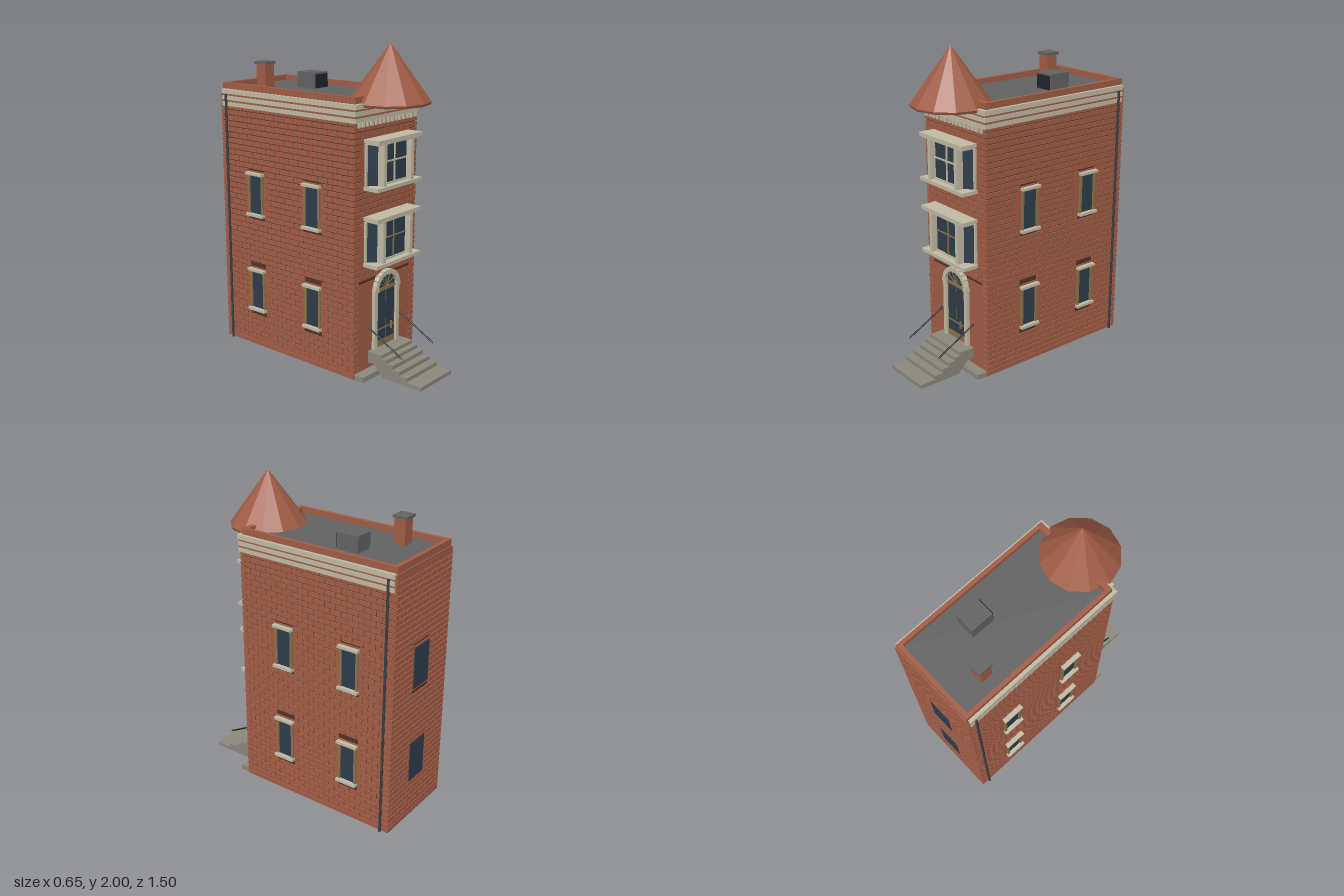
import * as THREE from 'three';
import { mergeGeometries } from 'three/addons/utils/BufferGeometryUtils.js';

const mat = (name, color) => Object.assign(new THREE.MeshStandardMaterial({ color }), { name });

export function createModel() {
  const M = {
    brick: mat('brick', 0xa05c45),
    mortar: mat('mortar', 0x4f3329),
    cream: mat('limestone', 0xc0baa4),
    stone: mat('step stone', 0x8a877b),
    roof: mat('roofing', 0x626262),
    glass: mat('glass', 0x2d3d4a),
    wood: mat('wood', 0x8a724a),
    iron: mat('iron', 0x20252b),
    pipe: mat('drainpipe metal', 0x3a3e45),
  };
  const model = new THREE.Group();
  model.name = 'townhouse';

  const add = (parent, name, geometry, material) => {
    const mesh = new THREE.Mesh(geometry, material);
    mesh.name = name;
    parent.add(mesh);
    return mesh;
  };
  // Box given by its limits on each axis
  const slab = (x0, x1, y0, y1, z0, z1) =>
    new THREE.BoxGeometry(x1 - x0, y1 - y0, z1 - z0).translate((x0 + x1) / 2, (y0 + y1) / 2, (z0 + z1) / 2);
  const box = (parent, name, material, ...limits) => add(parent, name, slab(...limits), material);

  // Core of the house
  box(model, 'wallCore', M.mortar, -0.29, 0.29, 0.004, 1.66, -0.737, 0.346);
  box(model, 'foundation', M.stone, -0.29, 0.29, 0, 0.004, -0.737, 0.346);
  box(model, 'roofDeck', M.roof, -0.27, 0.27, 1.655, 1.675, -0.72, 0.33);

  // Wall frame: local x runs along the wall, local z points outwards
  const wall = (name, x, z, turn) => {
    const g = new THREE.Group();
    g.name = name;
    g.position.set(x, 0, z);
    g.rotation.y = turn;
    model.add(g);
    return g;
  };

  // Running-bond bricks, cut around rectangular openings [x0, x1, y0, y1]
  const layBricks = (parent, width, openings) => {
    const pitch = 0.036, length = 0.078, gap = 0.006, half = width / 2 + 0.007;
    const bricks = [slab(-half, half, 0.004, 0.032, -0.005, 0.008)];
    for (let row = 1; row < 46; row++) {
      const y0 = row * pitch, y1 = y0 + 0.0295;
      for (let x = -half - (row % 2) * length / 2; x < half; x += length) {
        let spans = [[Math.max(x, -half), Math.min(x + length - gap, half)]];
        for (const [a, b, c, d] of openings) {
          if (y1 <= c || y0 >= d) continue;
          spans = spans.flatMap(([s, e]) => [[s, Math.min(e, a)], [Math.max(s, b), e]]);
        }
        for (const [s, e] of spans) if (e - s > 0.006) bricks.push(slab(s, e, y0, y1, -0.004, 0.008));
      }
    }
    add(parent, 'bricks', mergeGeometries(bricks), M.brick);
  };

  // Brick surround, toothed at its sides
  const surround = (parent, x, y0, y1, half) => {
    const parts = [slab(x - half, x + half, y0, y1, -0.004, 0.0085)];
    for (let y = y0; y < y1 - 0.03; y += 0.072)
      parts.push(slab(x - half - 0.015, x + half + 0.015, y, y + 0.036, -0.004, 0.0083));
    add(parent, 'brickSurround', mergeGeometries(parts), M.brick);
  };

  const floors = [[0.26, 0.525], [0.895, 1.16]];

  // Side windows with stone sill and lintel
  const sideWindow = (parent, x, y0, y1) => {
    surround(parent, x, y0 - 0.015, y1 + 0.015, 0.08);
    box(parent, 'sideGlass', M.glass, x - 0.055, x + 0.055, y0, y1, 0.003, 0.011);
    for (const s of [-1, 1])
      box(parent, 'windowJamb', M.wood, x + s * 0.057 - 0.008, x + s * 0.057 + 0.008, y0, y1, 0, 0.02);
    box(parent, 'windowSill', M.cream, x - 0.071, x + 0.071, y0 - 0.01, y0 + 0.007, 0, 0.037);
    box(parent, 'windowLintel', M.cream, x - 0.07, x + 0.07, y1 - 0.008, y1 + 0.008, 0, 0.037);
  };
  for (const s of [1, -1]) {
    const side = wall(s > 0 ? 'leftWall' : 'rightWall', s * 0.29, -0.195, s * Math.PI / 2);
    const centres = [0.03, -0.445].map(z => -s * (z + 0.195));
    const openings = [];
    for (const x of centres) for (const [y0, y1] of floors) {
      sideWindow(side, x, y0, y1);
      openings.push([x - 0.07, x + 0.07, y0 - 0.015, y1 + 0.015]);
    }
    layBricks(side, 1.084, openings);
  }

  // Back wall with two plain windows
  const back = wall('backWall', 0, -0.737, Math.PI);
  layBricks(back, 0.58, floors.map(([y0, y1]) => [-0.09, 0.09, y0 - 0.012, y1 + 0.012]));
  for (const [y0, y1] of floors) {
    box(back, 'backWindowFrame', M.brick, -0.09, 0.09, y0 - 0.012, y1 + 0.012, 0, 0.007);
    box(back, 'backGlass', M.glass, -0.08, 0.08, y0, y1, 0.004, 0.01);
  }
  box(back, 'backTopCourse', M.brick, -0.29, 0.29, 1.635, 1.67, 0, 0.007);

  // Front wall with a plain panel round the entrance
  const front = wall('frontWall', 0, 0.346, 0);
  layBricks(front, 0.58, [[-0.25, 0.25, 0.034, 0.59]]);
  box(front, 'entrancePanel', M.brick, -0.25, 0.25, 0.02, 0.59, 0, 0.005);

  // Bay windows with angled side panes
  for (const [y0, y1, barMaterial, bar] of [[0.7, 1.005, M.wood, 0.003], [1.165, 1.465, M.cream, 0.0045]]) {
    const bay = new THREE.Group();
    bay.name = 'bayWindow';
    front.add(bay);
    surround(bay, 0, y0 - 0.01, y1 + 0.01, 0.215);
    box(bay, 'baySill', M.cream, -0.215, 0.215, y0, y0 + 0.022, 0, 0.115);
    box(bay, 'bayHead', M.cream, -0.212, 0.212, y1 - 0.022, y1, 0, 0.115);
    box(bay, 'bayHeadMoulding', M.cream, -0.2, 0.2, y1 - 0.032, y1 - 0.022, 0, 0.105);
    const low = y0 + 0.022, high = y1 - 0.032, mid = low + (high - low) * 0.55;
    const outline = new THREE.Shape([[-0.195, 0], [-0.195, -0.012], [-0.135, -0.065], [0.135, -0.065], [0.195, -0.012], [0.195, 0]]
      .map(p => new THREE.Vector2(...p)));
    add(bay, 'bayGlass', new THREE.ExtrudeGeometry(outline, { depth: high - low, bevelEnabled: false })
      .rotateX(-Math.PI / 2).translate(0, low, 0), M.glass);
    for (const s of [-1, 1]) {
      box(bay, 'bayPost', M.cream, s * 0.131 - 0.013, s * 0.131 + 0.013, low, high, 0.058, 0.104);
      box(bay, 'bayEndPost', M.cream, s * 0.201 - 0.007, s * 0.201 + 0.007, low, high, 0, 0.022);
    }
    box(bay, 'bayMullion', barMaterial, -bar, bar, low, high, 0.063, 0.072);
    box(bay, 'bayRail', barMaterial, -0.12, 0.12, mid - bar, mid + bar, 0.063, 0.072);
    box(bay, 'bayBottomRail', M.cream, -0.12, 0.12, low, low + 0.01, 0.063, 0.073);
  }

  // Door, fanlight and stone arch
  const door = new THREE.Group();
  door.name = 'entrance';
  front.add(door);
  const springY = 0.52;
  box(door, 'doorLeaf', M.wood, -0.098, 0.098, 0.14, springY, 0, 0.013);
  for (const s of [-1, 1]) {
    box(door, 'doorGlass', M.glass, s * 0.043 - 0.039, s * 0.043 + 0.039, 0.188, 0.5, 0.01, 0.017);
    box(door, 'archJamb', M.cream, s * 0.107 - 0.014, s * 0.107 + 0.014, 0.14, springY, 0, 0.028);
    box(door, 'archImpost', M.cream, s * 0.107 - 0.018, s * 0.107 + 0.018, springY - 0.012, springY + 0.01, 0, 0.034);
  }
  box(door, 'doorRail', M.wood, -0.08, 0.08, 0.256, 0.264, 0.01, 0.02);
  box(door, 'doorHandle', M.wood, 0.045, 0.053, 0.235, 0.285, 0.012, 0.028);
  box(door, 'transom', M.wood, -0.095, 0.095, springY - 0.012, springY + 0.004, 0, 0.022);
  add(door, 'fanlight', new THREE.CircleGeometry(0.098, 24, 0, Math.PI).translate(0, springY, 0.0135), M.glass);
  for (let i = 1; i < 6; i++)
    add(door, 'fanlightBar', slab(0.01, 0.095, -0.002, 0.002, 0.012, 0.018)
      .rotateZ(i * Math.PI / 6).translate(0, springY, 0), M.wood);
  for (let i = 0; i < 11; i++)
    add(door, 'archStone', slab(0.092, 0.121, -0.0155, 0.0155, 0, i === 5 ? 0.04 : 0.034)
      .rotateZ((i + 0.5) * Math.PI / 11).translate(0, springY - 0.006, 0), M.cream);

  // Front steps with a sloping underside, and a low plinth
  const steps = [[0.75, 0], [0.75, 0.025], [0.645, 0.025], [0.645, 0.05], [0.59, 0.05], [0.59, 0.075], [0.54, 0.075],
    [0.54, 0.1], [0.495, 0.1], [0.495, 0.122], [0.455, 0.122], [0.455, 0.143], [0.345, 0.143], [0.345, 0.07], [0.4, 0.07], [0.47, 0]];
  add(model, 'frontSteps', new THREE.ExtrudeGeometry(new THREE.Shape(steps.map(([z, y]) => new THREE.Vector2(-z, y))),
    { depth: 0.316, bevelEnabled: false }).rotateY(Math.PI / 2).translate(-0.158, 0, 0), M.stone);
  box(model, 'frontPlinth', M.stone, -0.29, 0.29, 0, 0.033, 0.34, 0.42);

  for (const s of [-1, 1]) {
    const rail = new THREE.LineCurve3(new THREE.Vector3(s * 0.16, 0.305, 0.35), new THREE.Vector3(s * 0.16, 0.165, 0.615));
    add(model, 'handrail', new THREE.TubeGeometry(rail, 1, 0.005, 8), M.iron);
    add(model, 'drainpipe', new THREE.CylinderGeometry(0.008, 0.008, 1.64, 8).translate(s * 0.306, 0.82, -0.692), M.pipe);
  }

  // Cornice, dentils and parapet
  for (const [material, y0, y1, out] of [[M.cream, 1.565, 1.592, 0.011], [M.brick, 1.592, 1.604, 0.009],
    [M.cream, 1.604, 1.631, 0.013], [M.brick, 1.631, 1.643, 0.009], [M.cream, 1.643, 1.672, 0.016]])
    box(model, 'corniceBand', material, -0.29 - out, 0.29 + out, y0, y1, -0.73, 0.353 + out);
  box(model, 'dentilCourse', M.brick, -0.285, 0.285, 1.53, 1.567, 0.345, 0.3555);
  for (let i = 0; i < 15; i++) {
    const x = -0.266 + i * 0.038;
    box(model, 'dentil', M.cream, x - 0.008, x + 0.008, 1.538, 1.567, 0.345, 0.37);
  }
  box(model, 'parapetBack', M.brick, -0.285, 0.285, 1.66, 1.71, -0.737, -0.71);
  box(model, 'parapetFront', M.brick, -0.285, 0.285, 1.66, 1.71, 0.31, 0.345);
  for (const s of [-1, 1])
    box(model, 'parapetSide', M.brick, s * 0.2725 - 0.0125, s * 0.2725 + 0.0125, 1.66, 1.71, -0.71, 0.31);

  // Twelve-sided conical turret roof
  const facet = (g) => {
    const f = g.toNonIndexed();
    f.computeVertexNormals();
    return f.translate(0, 0, 0.373);
  };
  add(model, 'turretRoof', facet(new THREE.ConeGeometry(0.243, 0.335, 12).translate(0, 1.8325, 0)), M.brick);
  add(model, 'turretEave', facet(new THREE.CylinderGeometry(0.243, 0.236, 0.015, 12).translate(0, 1.6575, 0)), M.brick);

  // Chimney and roof vent
  box(model, 'chimney', M.brick, -0.182, -0.104, 1.67, 1.832, -0.538, -0.462);
  box(model, 'chimneyCap', M.roof, -0.19, -0.096, 1.83, 1.847, -0.55, -0.455);
  box(model, 'roofVent', M.roof, 0.04, 0.162, 1.67, 1.775, -0.398, -0.25);
  box(model, 'ventGrille', M.iron, 0.046, 0.156, 1.68, 1.765, -0.251, -0.243);

  return model;
}
